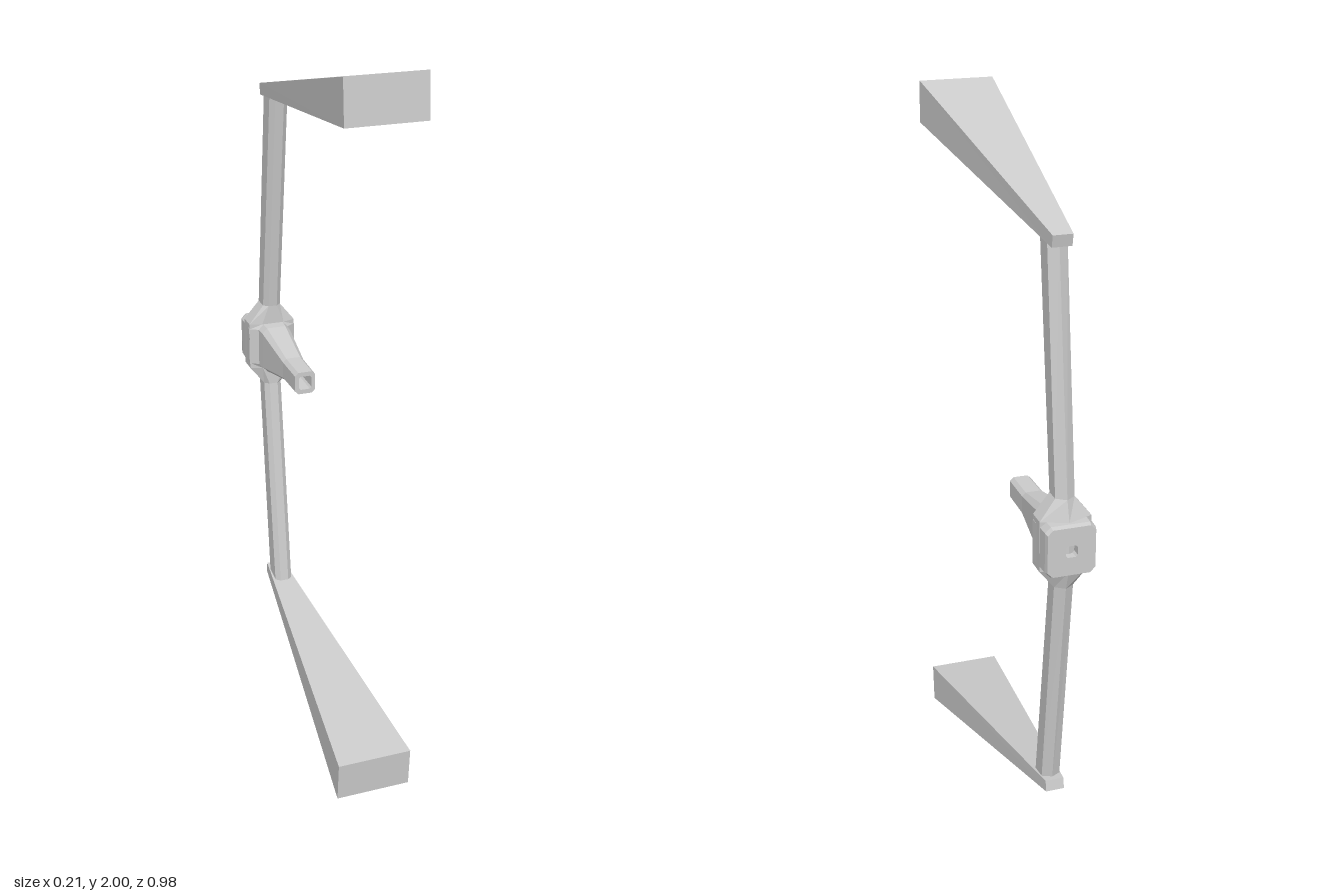
import * as THREE from 'three';

const material = new THREE.MeshStandardMaterial({ color: 0xcccccc, flatShading: true });

// Skin a list of equal-sized rings of [x, y, z] points, with optional end caps
function loft(name, rings, capped = true) {
  const pos = [];
  const tri = (a, b, c) => pos.push(...a, ...b, ...c);
  const n = rings[0].length;
  for (let i = 0; i < rings.length - 1; i++) {
    for (let j = 0; j < n; j++) {
      const k = (j + 1) % n;
      tri(rings[i][j], rings[i][k], rings[i + 1][k]);
      tri(rings[i][j], rings[i + 1][k], rings[i + 1][j]);
    }
  }
  if (capped) {
    const first = rings[0], last = rings[rings.length - 1];
    for (let j = 1; j < n - 1; j++) {
      tri(first[0], first[j + 1], first[j]);
      tri(last[0], last[j], last[j + 1]);
    }
  }
  const geometry = new THREE.BufferGeometry();
  geometry.setAttribute('position', new THREE.Float32BufferAttribute(pos, 3));
  geometry.computeVertexNormals();
  const mesh = new THREE.Mesh(geometry, material);
  mesh.name = name;
  return mesh;
}

// Rectangle with cut corners, facing z
function cutRect(z, w, h, c) {
  return [
    [w, -h + c], [w, h - c], [w - c, h], [-w + c, h],
    [-w, h - c], [-w, -h + c], [-w + c, -h], [w - c, -h],
  ].map(([x, y]) => [x, y, z]);
}

// Arm section: flat front, parallel sides and a ridge at the back
function armRing(y, w, front, shoulder, ridge) {
  const f = w * 0.48, side = front - 0.012;
  return [
    [f, y, front], [w, y, side], [w, y, shoulder], [0, y, ridge],
    [-w, y, shoulder], [-w, y, side], [-f, y, front],
  ];
}

// Four corners of a blade end, from its lower and upper [y, z]
function bladeRing(w, [y0, z0], [y1, z1]) {
  return [[w, y0, z0], [w, y1, z1], [-w, y1, z1], [-w, y0, z0]];
}

// One arm with its flared collar and blade, heights measured from the hub centre
function createLimb(name) {
  const limb = new THREE.Group();
  limb.name = name;
  limb.add(
    loft('arm', [
      armRing(0, 0.069, -0.377, -0.44, -0.468),
      armRing(0.07, 0.069, -0.377, -0.44, -0.468),
      armRing(0.125, 0.026, -0.377, -0.432, -0.45),
      armRing(0.768, 0.026, -0.29, -0.352, -0.367),
    ]),
    loft('blade', [
      bladeRing(0.026, [0.755, -0.386], [0.786, -0.392]),
      bladeRing(0.105, [0.885, 0.492], [1, 0.483]),
    ]),
  );
  return limb;
}

export function createModel() {
  const model = new THREE.Group();
  model.name = 'twinBladeFrame';

  // Hub block and forward nozzle, bored right through
  const body = loft('hubAndNozzle', [
    cutRect(-0.488, 0.016, 0.016, 0.005),
    cutRect(-0.488, 0.064, 0.066, 0.014),
    cutRect(-0.475, 0.067, 0.07, 0.015),
    cutRect(-0.39, 0.07, 0.07, 0.015),
    cutRect(-0.375, 0.045, 0.07, 0.015),
    cutRect(-0.345, 0.043, 0.069, 0.015),
    cutRect(-0.19, 0.031, 0.034, 0.01),
    cutRect(-0.085, 0.03, 0.033, 0.01),
    cutRect(-0.085, 0.019, 0.02, 0.005),
    cutRect(-0.488, 0.016, 0.016, 0.005),
  ], false);
  body.position.y = 1;
  model.add(body);

  // The lower limb is the upper one turned half round
  const upper = createLimb('upperLimb');
  const lower = createLimb('lowerLimb');
  lower.rotation.z = Math.PI;
  for (const limb of [upper, lower]) {
    limb.position.y = 1;
    model.add(limb);
  }
  return model;
}
